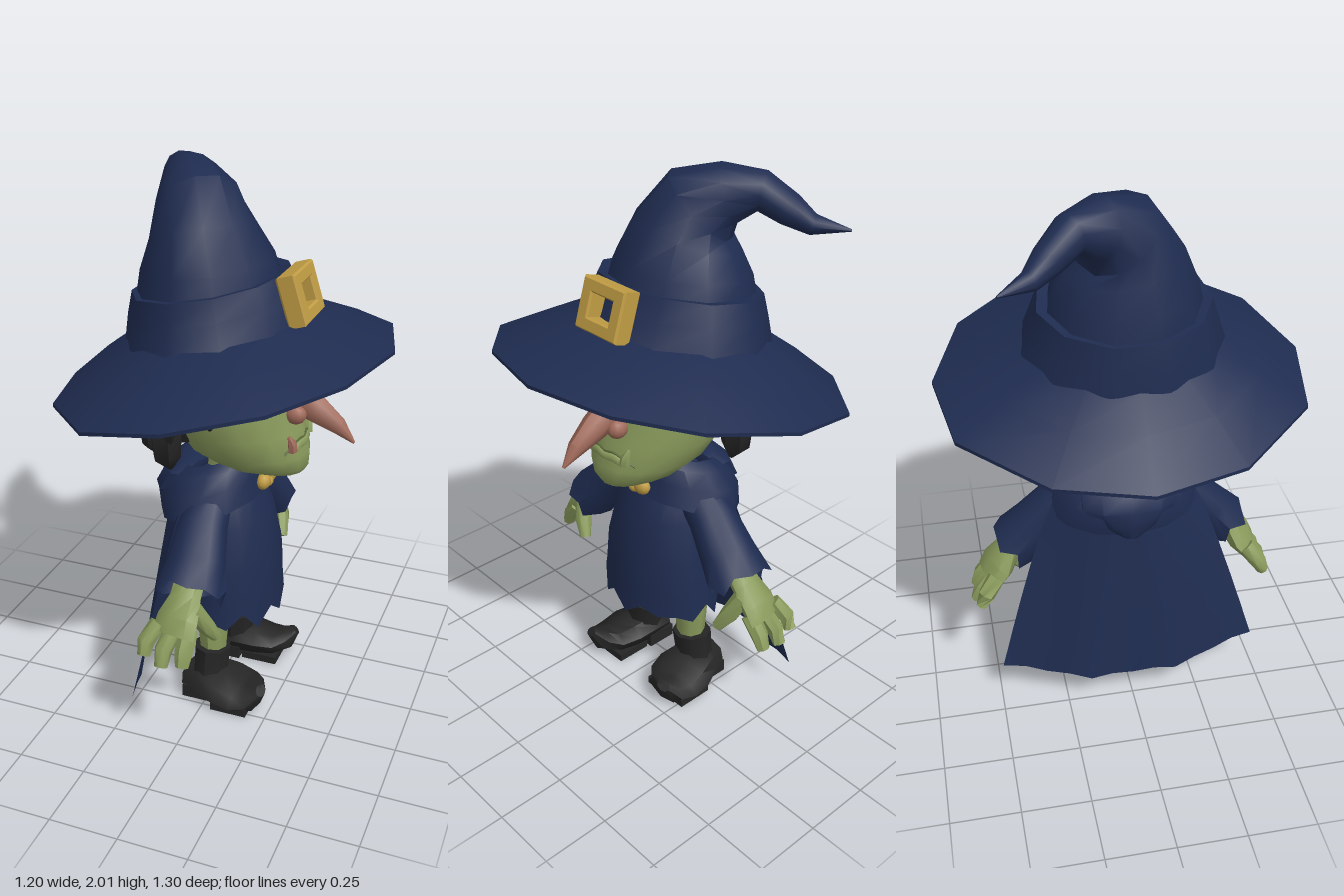
import * as THREE from 'three';
import { toCreasedNormals } from 'three/addons/utils/BufferGeometryUtils.js';

const V = (x, y, z) => new THREE.Vector3(x, y, z);
const UP = V(0, 1, 0);

function material(name, color, side = THREE.FrontSide) {
  const m = new THREE.MeshStandardMaterial({ color, side });
  m.name = name;
  return m;
}

// Skin over rows of points; closed rows wrap around and may get end caps
function skin(rows, closed = true, capStart = true, capEnd = true) {
  const pos = [], idx = [], n = rows[0].length;
  rows.forEach(r => r.forEach(p => pos.push(p.x, p.y, p.z)));
  for (let i = 0; i < rows.length - 1; i++)
    for (let j = 0; j < (closed ? n : n - 1); j++) {
      const k = (j + 1) % n, a = i * n + j, b = i * n + k;
      idx.push(a, b, b + n, a, b + n, a + n);
    }
  const cap = (i, flip) => {
    const c = rows[i].reduce((s, p) => s.add(p), V(0, 0, 0)).divideScalar(n);
    const id = pos.length / 3;
    pos.push(c.x, c.y, c.z);
    for (let j = 0; j < n; j++) {
      const a = i * n + j, b = i * n + (j + 1) % n;
      flip ? idx.push(id, b, a) : idx.push(id, a, b);
    }
  };
  if (closed && capStart) cap(0, true);
  if (closed && capEnd) cap(rows.length - 1, false);
  const g = new THREE.BufferGeometry();
  g.setAttribute('position', new THREE.Float32BufferAttribute(pos, 3));
  g.setIndex(idx);
  return toCreasedNormals(g, 0.8);
}

// Elliptical ring facing dir; jag shifts points along dir for torn edges
function ring([x, y, z, rx, rz], dir, n, jag = 0) {
  const q = new THREE.Quaternion().setFromUnitVectors(UP, dir.clone().normalize());
  return Array.from({ length: n }, (_, j) => {
    const a = j / n * Math.PI * 2;
    return V(rx * Math.sin(a), jag * (j % 2 + 0.4 * (j % 3)), rz * Math.cos(a)).applyQuaternion(q).add(V(x, y, z));
  });
}

// Loft of rings [x, y, z, rx, rz] along a path, or all facing one fixed direction
function loft(secs, { n = 8, dir, jagStart = 0, jagEnd = 0, capStart = true, capEnd = true } = {}) {
  const last = secs.length - 1;
  const rows = secs.map((s, i) => {
    const a = secs[Math.max(i - 1, 0)], b = secs[Math.min(i + 1, last)];
    const d = dir || V(b[0] - a[0], b[1] - a[1], b[2] - a[2]);
    return ring(s, d, n, i === 0 ? jagStart : i === last ? jagEnd : 0);
  });
  return skin(rows, true, capStart, capEnd);
}

export function createModel() {
  const navy = material('navy cloth', 0x1f2c50, THREE.DoubleSide);
  const green = material('green skin', 0x8b9c5d);
  const black = material('black hair and leather', 0x252525);
  const gold = material('gold metal', 0xc09c44);
  const pink = material('pink skin', 0xa06a5a);
  const dark = material('dark green mouth', 0x5e6c3e);

  // Built facing +z, then the figure is turned to face +x
  const fig = new THREE.Group();
  fig.name = 'figure';
  const add = (name, geo, mat) => {
    const m = new THREE.Mesh(geo, mat);
    m.name = name;
    fig.add(m);
    return m;
  };
  const ball = (name, mat, p, s) => {
    const m = add(name, new THREE.SphereGeometry(1, 10, 8), mat);
    m.position.set(...p);
    m.scale.set(...s);
    return m;
  };

  // Hat brim: twelve-sided, drooping to the back
  const half = [[0, 0.6], [0.31, 0.52], [0.535, 0.33], [0.65, 0.03], [0.6, -0.27], [0.32, -0.52], [0, -0.6]];
  const outline = half.concat(half.slice(1, 6).reverse().map(([x, z]) => [-x, z]));
  const rim = outline.map(([x, z]) => V(x, 1.295 + 0.208 * z, z));
  const hatTilt = V(0, 1, -0.18);
  const base = ring([0, 1.445, -0.03, 0.34, 0.31], hatTilt, 12);
  const brimRow = (t, dy) => rim.map((p, i) => p.clone().lerp(base[i], t).add(V(0, dy, 0)));
  add('hatBrim', skin([brimRow(0.95, -0.03), brimRow(0.5, -0.012), brimRow(0, -0.005), brimRow(0, 0.008),
    brimRow(0.55, 0.018), brimRow(1, 0.01)], true, false, false), navy);

  // Hat band and bent crown
  add('hatBand', loft([[0, 1.445, -0.03, 0.355, 0.325], [0, 1.53, -0.045, 0.325, 0.3], [0, 1.605, -0.055, 0.3, 0.275],
    [0, 1.6, -0.055, 0.255, 0.245]], { n: 11, dir: hatTilt, capStart: false, capEnd: false }), navy);
  add('hatCrown', loft([[0, 1.55, -0.055, 0.275, 0.26], [0, 1.66, -0.065, 0.25, 0.235], [0.005, 1.77, -0.085, 0.2, 0.185],
    [0.035, 1.86, -0.115, 0.155, 0.15], [0.11, 1.905, -0.17, 0.105, 0.105], [0.2, 1.92, -0.235, 0.068, 0.068],
    [0.275, 1.865, -0.285, 0.056, 0.056], [0.34, 1.82, -0.33, 0.036, 0.036], [0.445, 1.81, -0.4, 0.004, 0.004]],
  { n: 11 }), navy);

  // Buckle: square frame with a hole
  const frame = new THREE.Shape([[-0.097, -0.082], [0.097, -0.082], [0.097, 0.082], [-0.097, 0.082]].map(p => new THREE.Vector2(...p)));
  frame.holes.push(new THREE.Path([[-0.058, -0.047], [-0.058, 0.047], [0.058, 0.047], [0.058, -0.047]].map(p => new THREE.Vector2(...p))));
  const buckle = add('hatBuckle', new THREE.ExtrudeGeometry(frame, { depth: 0.055, bevelSize: 0.006, bevelThickness: 0.008, bevelSegments: 1 }), gold);
  buckle.position.set(0, 1.578, 0.242);
  buckle.rotation.x = -0.3;

  // Head: wide skull with a jutting jaw
  const headSecs = [[0, 0.935, 0.19, 0.09, 0.11], [0, 0.96, 0.13, 0.145, 0.185], [0, 1.01, 0.09, 0.19, 0.225],
    [0, 1.1, 0.05, 0.233, 0.237], [0, 1.2, 0.03, 0.252, 0.23], [0, 1.3, 0.02, 0.252, 0.225], [0, 1.42, 0, 0.23, 0.21]];
  add('head', loft(headSecs, { n: 16, dir: UP }), green);
  const faceZ = (x, y) => {
    const i = Math.max(1, headSecs.findIndex(s => s[1] >= y)), a = headSecs[i - 1], b = headSecs[i];
    const t = (y - a[1]) / (b[1] - a[1]), mix = k => a[k] + (b[k] - a[k]) * t;
    return mix(2) + mix(4) * Math.sqrt(Math.max(0, 1 - (x / mix(3)) ** 2));
  };
  add('neck', loft([[0, 0.86, -0.01, 0.1, 0.1], [0, 1.0, 0.02, 0.11, 0.11]]), green);

  // Long pointed nose with a broad bridge
  add('nose', loft([[0, 1.235, 0.2, 0.045, 0.05], [0, 1.215, 0.27, 0.052, 0.06], [0, 1.175, 0.34, 0.045, 0.052],
    [0, 1.125, 0.42, 0.03, 0.032], [0, 1.07, 0.478, 0.005, 0.005]], { n: 8 }), pink);

  // Frowning mouth
  const mouth = [-0.12, -0.08, -0.04, 0, 0.04, 0.08, 0.12].map((x, i) => {
    const y = [1.035, 1.06, 1.072, 1.068, 1.072, 1.06, 1.035][i];
    return V(x, y, faceZ(x, y) - 0.001);
  });
  add('mouth', new THREE.TubeGeometry(new THREE.CatmullRomCurve3(mouth), 16, 0.004, 5), dark);
  const lip = mouth.slice(1, 6).map(p => V(p.x, p.y - 0.022, p.z - 0.006));
  add('lowerLip', new THREE.TubeGeometry(new THREE.CatmullRomCurve3(lip), 12, 0.019, 6), green);

  for (const s of [-1, 1]) {
    const side = s > 0 ? 'left' : 'right';
    // Hooded eyes, heavy brows, nostrils and tusks
    ball(side + 'EyeSocket', pink, [s * 0.133, 1.265, faceZ(0.133, 1.265) - 0.012], [0.05, 0.033, 0.022]).rotation.y = s * 0.5;
    ball(side + 'Pupil', black, [s * 0.128, 1.272, faceZ(0.128, 1.272) + 0.002], [0.024, 0.016, 0.011]).rotation.y = s * 0.5;
    add(side + 'Brow', loft([[s * 0.04, 1.302, faceZ(0.04, 1.3), 0.014, 0.016], [s * 0.09, 1.313, faceZ(0.09, 1.31) + 0.004, 0.025, 0.022],
      [s * 0.16, 1.332, faceZ(0.16, 1.33), 0.024, 0.022], [s * 0.22, 1.34, faceZ(0.22, 1.34), 0.006, 0.008]], { n: 6 }), black);
    ball(side + 'Nostril', pink, [s * 0.05, 1.168, 0.278], [0.034, 0.036, 0.04]);
    add(side + 'Tusk', loft([[s * 0.088, 1.045, faceZ(0.088, 1.045), 0.02, 0.018], [s * 0.094, 1.075, faceZ(0.094, 1.075) + 0.01, 0.018, 0.016],
      [s * 0.1, 1.1, faceZ(0.1, 1.1) + 0.008, 0.006, 0.006]], { n: 6 }), s < 0 ? pink : green);

    // Sleeve with ragged cuff
    add(side + 'Sleeve', loft([[s * 0.14, 0.86, 0, 0.07, 0.08], [s * 0.24, 0.775, 0.005, 0.08, 0.09], [s * 0.33, 0.675, 0.015, 0.09, 0.105],
      [s * 0.385, 0.615, 0.02, 0.1, 0.125]], { n: 12, jagEnd: 0.03, capEnd: false }), navy);

    // Hand with three fingers and a thumb
    add(side + 'Hand', loft([[s * 0.31, 0.7, 0.01, 0.05, 0.055], [s * 0.42, 0.585, 0.01, 0.045, 0.06], [s * 0.47, 0.525, 0.0, 0.045, 0.09],
      [s * 0.505, 0.475, -0.005, 0.034, 0.09]], { n: 8 }), green);
    for (const [z0, z1, len] of [[-0.065, -0.095, 0.9], [-0.005, -0.025, 1.1], [0.05, 0.05, 1]])
      add(side + 'Finger', loft([[s * 0.485, 0.5, z0, 0.032, 0.035], [s * (0.485 + 0.05 * len), 0.5 - 0.06 * len, z1, 0.031, 0.033],
        [s * (0.485 + 0.072 * len), 0.5 - 0.11 * len, z1, 0.022, 0.024]], { n: 7 }), green);
    add(side + 'Thumb', loft([[s * 0.45, 0.56, 0.05, 0.034, 0.036], [s * 0.415, 0.48, 0.085, 0.031, 0.034], [s * 0.378, 0.42, 0.105, 0.021, 0.022]],
      { n: 7 }), green);

    // Leg and upturned boot with a block heel
    add(side + 'Leg', loft([[s * 0.13, 0.15, 0, 0.052, 0.048], [s * 0.13, 0.24, 0, 0.06, 0.055], [s * 0.125, 0.34, 0, 0.072, 0.064],
      [s * 0.12, 0.46, 0, 0.072, 0.065]], { n: 8 }), green);
    add(side + 'BootShaft', loft([[s * 0.155, 0.02, -0.015, 0.085, 0.075], [s * 0.145, 0.1, -0.005, 0.074, 0.068], [s * 0.135, 0.2, 0, 0.08, 0.07]],
      { n: 8 }), black);
    add(side + 'BootFoot', loft([[s * 0.145, 0.055, -0.09, 0.07, 0.05], [s * 0.155, 0.065, -0.02, 0.095, 0.065], [s * 0.172, 0.06, 0.07, 0.115, 0.06],
      [s * 0.185, 0.05, 0.14, 0.107, 0.05], [s * 0.2, 0.06, 0.19, 0.078, 0.046], [s * 0.215, 0.095, 0.222, 0.028, 0.02]], { n: 8 }), black);
    const heel = add(side + 'BootHeel', new THREE.BoxGeometry(0.16, 0.05, 0.12), black);
    heel.position.set(s * 0.15, 0.025, -0.03);
    const sole = add(side + 'BootSole', new THREE.BoxGeometry(0.19, 0.03, 0.14), black);
    sole.position.set(s * 0.178, 0.015, 0.11);

    ball(side + 'Clasp', gold, [s * 0.034, 0.88, 0.16], [0.038, 0.032, 0.026]);
  }
  ball('claspKnot', gold, [0, 0.865, 0.165], [0.025, 0.02, 0.02]);

  // Hair: a cap at the back and layered chunky locks
  add('hairCap', loft([[0, 1.05, -0.14, 0.19, 0.12], [0, 1.15, -0.13, 0.24, 0.16], [0, 1.28, -0.12, 0.27, 0.18], [0, 1.4, -0.08, 0.26, 0.22]],
    { n: 12, dir: UP }), black);
  const lock = (deg, r, top, tip, w) => {
    const a = deg * Math.PI / 180, sx = Math.sin(a), cz = Math.cos(a);
    const at = (k, y, f) => [k * sx, y, -0.03 + k * cz, w * f, w * f];
    add('hairLock', loft([at(r - 0.03, top, 0.8), at(r, top * 0.6 + tip * 0.4, 1), at(r - 0.005, top * 0.2 + tip * 0.8, 0.85), at(r - 0.02, tip, 0.15)],
      { n: 6 }), black);
  };
  for (let i = -3; i <= 3; i++) {
    lock(180 + i * 20, 0.235, 1.22, 0.95 + 0.025 * (Math.abs(i * 2) % 3), 0.062);
    lock(180 + i * 22, 0.27, 1.38, 1.05 + 0.035 * (Math.abs(i) % 2), 0.068);
  }
  for (const s of [-1, 1])
    for (const [deg, tip] of [[40, 1.28], [57, 1.21], [75, 1.15], [93, 1.17], [110, 1.07]]) lock(s * deg, 0.272, 1.4, tip, 0.048);

  // Robe with torn hem, and shorts beneath
  add('robe', loft([[0, 0.328, 0.035, 0.25, 0.185], [0, 0.44, 0.035, 0.245, 0.18], [0, 0.58, 0.035, 0.23, 0.175], [0, 0.74, 0.02, 0.195, 0.16],
    [0, 0.86, 0, 0.16, 0.14], [0, 0.94, -0.01, 0.11, 0.11]], { n: 20, dir: UP, jagStart: 0.042, capStart: false }), navy);
  add('shorts', loft([[0, 0.39, 0.02, 0.19, 0.13], [0, 0.5, 0.02, 0.21, 0.15]], { n: 10, dir: UP }), black);

  // Shoulder mantle and folded hood hanging to a point
  add('mantle', loft([[0, 0.795, -0.03, 0.285, 0.2], [0, 0.87, -0.045, 0.255, 0.2], [0, 0.935, -0.035, 0.21, 0.18], [0, 0.965, -0.025, 0.165, 0.145],
    [0, 0.94, -0.02, 0.12, 0.11]], { n: 14, dir: V(0, 1, -0.25), capStart: false }), navy);
  add('hood', loft([[0, 0.735, -0.215, 0.03, 0.02], [0, 0.78, -0.195, 0.1, 0.05], [0, 0.85, -0.165, 0.18, 0.08], [0, 0.92, -0.12, 0.18, 0.09],
    [0, 0.965, -0.08, 0.13, 0.07]], { n: 10, dir: UP }), navy);

  // Cape: flaring sheet with soft folds
  const capeRows = [0, 0.2, 0.4, 0.6, 0.8, 1].map(t => Array.from({ length: 13 }, (_, j) => {
    const u = j / 6 - 1, w = 0.25 + 0.24 * Math.pow(t, 0.85);
    const hem = t * 0.04 * u * u + (t === 1 ? 0.012 * (j % 2) : 0);
    return V(u * w, 0.86 - 0.745 * t + hem, -0.18 - 0.095 * t + 0.11 * u * u + 0.012 * t * Math.cos(u * 9));
  }));
  add('cape', skin(capeRows, false), navy);

  fig.rotation.y = Math.PI / 2;
  const model = new THREE.Group();
  model.name = 'witch';
  model.add(fig);
  return model;
}
